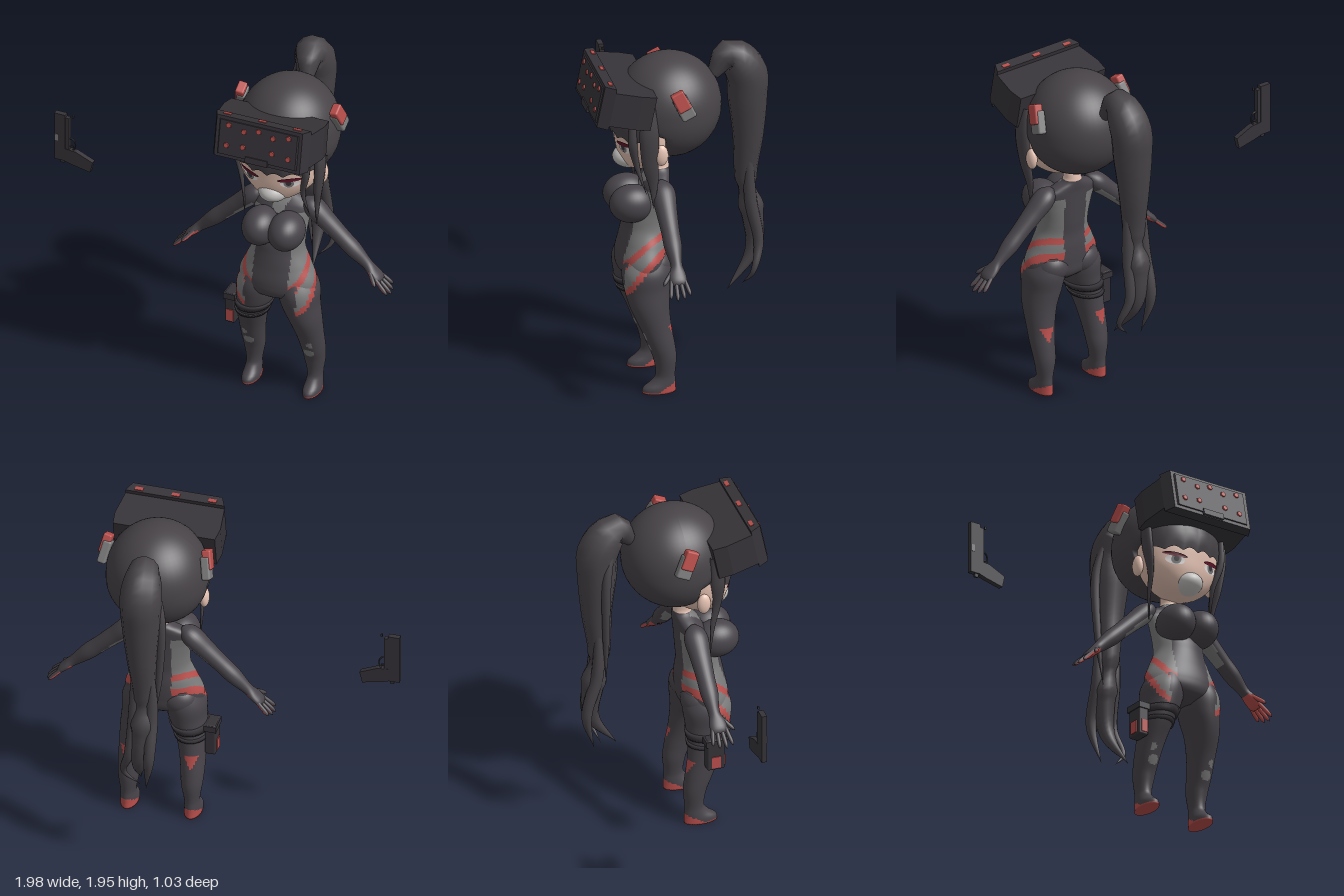
import * as THREE from 'three';
import { mergeVertices } from 'three/addons/utils/BufferGeometryUtils.js';
import { RoundedBoxGeometry } from 'three/addons/geometries/RoundedBoxGeometry.js';

const mat = (name, color, side = THREE.FrontSide) => new THREE.MeshStandardMaterial({ name, color, side });
const M = {
  hair: mat('hair charcoal', 0x474347, THREE.DoubleSide), suit: mat('suit charcoal', 0x48444a),
  gear: mat('gear black', 0x363338), red: mat('accent red', 0xb84e4b), grey: mat('panel grey', 0x7b7a7b),
  skin: mat('skin', 0xe6c3b3), mask: mat('mask grey', 0xc4c2c0), lash: mat('lash maroon', 0x5e1428, THREE.DoubleSide),
  white: mat('eye white', 0xe6e0e0, THREE.DoubleSide),
};

const add = (parent, name, geo, material, x = 0, y = 0, z = 0) => {
  const m = new THREE.Mesh(geo, material);
  m.name = name; m.position.set(x, y, z); parent.add(m);
  return m;
};
const ball = (parent, name, material, p, s) => {
  const m = add(parent, name, new THREE.SphereGeometry(1, 32, 24), material, ...p);
  m.scale.set(...s); return m;
};
const box = (parent, name, material, p, s) => add(parent, name, new THREE.BoxGeometry(...s), material, ...p);

// Smooth cross-section [y, cx, cz, rx, rz] at height y; sections run from top to bottom
function at(secs, y) {
  let i = 0;
  while (i < secs.length - 2 && y < secs[i + 1][0]) i++;
  const a = secs[i], b = secs[i + 1], h = b[0] - a[0], t = (y - a[0]) / h;
  const p = secs[i - 1] || a, n = secs[i + 2] || b;
  return a.map((v, k) => {
    if (k === 0) return y;
    const m0 = (b[k] - p[k]) / (b[0] - p[0]) * h, m1 = (n[k] - v) / (n[0] - a[0]) * h;
    const t2 = t * t, t3 = t2 * t;
    return (2 * t3 - 3 * t2 + 1) * v + (t3 - 2 * t2 + t) * m0 + (3 * t2 - 2 * t3) * b[k] + (t3 - t2) * m1;
  });
}

// Closed body of elliptical sections; paint(x, y, z) picks the material of each quad
function loft(parent, name, secs, paint, rows = 40, seg = 40) {
  const pos = [], faces = new Map(), top = secs[0][0], low = secs[secs.length - 1][0];
  for (let i = 0; i <= rows; i++) {
    const [y, cx, cz, rx, rz] = at(secs, top + (low - top) * i / rows);
    for (let j = 0; j < seg; j++) {
      const q = j / seg * Math.PI * 2;
      pos.push(cx + rx * Math.sin(q), y, cz + rz * Math.cos(q));
    }
  }
  const ends = [secs[0], secs[secs.length - 1]], n = pos.length / 3;
  ends.forEach(e => pos.push(e[1], e[0], e[2]));
  const put = (...ids) => {
    const c = [0, 1, 2].map(k => ids.reduce((s, id) => s + pos[id * 3 + k], 0) / ids.length);
    const m = paint(...c);
    if (!faces.has(m)) faces.set(m, []);
    faces.get(m).push(ids[0], ids[1], ids[2]);
    if (ids.length > 3) faces.get(m).push(ids[0], ids[2], ids[3]);
  };
  for (let j = 0; j < seg; j++) {
    const k = (j + 1) % seg, last = rows * seg;
    put(n, j, k);
    put(n + 1, last + k, last + j);
    for (let i = 0; i < rows; i++) put(i * seg + j, (i + 1) * seg + j, (i + 1) * seg + k, i * seg + k);
  }
  const geo = new THREE.BufferGeometry(), index = [], mats = [];
  for (const [m, list] of faces) {
    geo.addGroup(index.length, list.length, mats.length);
    mats.push(m);
    for (const id of list) index.push(id);
  }
  geo.setAttribute('position', new THREE.Float32BufferAttribute(pos, 3));
  geo.setIndex(index);
  geo.computeVertexNormals();
  return add(parent, name, geo, mats);
}

// Lock of hair: a tube whose radius follows the fourth value of each point
function strand(parent, name, pts, sx = 1, sz = 1) {
  const curve = new THREE.CatmullRomCurve3(pts.map(p => new THREE.Vector3(p[0], p[1], p[2])));
  const radii = new THREE.CatmullRomCurve3(pts.map(p => new THREE.Vector3(p[3], 0, 0)));
  const N = 48, R = 12, tube = new THREE.TubeGeometry(curve, N, 1, R), a = tube.attributes.position;
  for (let i = 0; i <= N; i++) {
    const u = curve.getUtoTmapping(i / N), c = curve.getPoint(u), r = Math.max(0.001, radii.getPoint(u).x);
    for (let j = 0; j <= R; j++) {
      const k = i * (R + 1) + j;
      a.setXYZ(k, c.x + (a.getX(k) - c.x) * r * sx, c.y + (a.getY(k) - c.y) * r, c.z + (a.getZ(k) - c.z) * r * sz);
    }
  }
  tube.deleteAttribute('normal'); tube.deleteAttribute('uv');
  const geo = mergeVertices(tube, 1e-5);
  geo.computeVertexNormals();
  return add(parent, name, geo, M.hair);
}

// Suit pattern: grey flanks, two red stripes sweeping round the hip, grey collar
function suitPaint(x, y, z) {
  const a = Math.abs(x), d = Math.max(0, z - 0.1);
  const low = 0.81 - 4.2 * d * d, high = 0.9 - 3 * d * d;
  if (y > 1.262) return M.skin;
  if (y > 1.15 && z > 0.13 && a < 0.02 + (y - 1.15) * 0.5) return M.grey;
  if (y < 1.16 && a > (z > 0.2 ? 0.105 : 0.07)) {
    if (Math.abs(y - low) < 0.024 || Math.abs(y - high) < 0.018) return M.red;
    if (y > low) return M.grey;
  }
  return M.suit;
}

const torso = [[1.31, 0, 0.11, 0.05, 0.05], [1.255, 0, 0.105, 0.055, 0.052], [1.225, 0, 0.115, 0.11, 0.06],
  [1.19, 0, 0.13, 0.165, 0.07], [1.1, 0, 0.155, 0.155, 0.09], [1.0, 0, 0.185, 0.145, 0.115], [0.93, 0, 0.195, 0.148, 0.12],
  [0.85, 0, 0.2, 0.182, 0.13], [0.75, 0, 0.21, 0.22, 0.137], [0.68, 0, 0.21, 0.19, 0.125], [0.635, 0, 0.205, 0.06, 0.07]];
const legSections = s => [[0.8, 0.1, 0.2, 0.08, 0.11], [0.7, 0.118, 0.205, 0.112, 0.135], [0.6, 0.13, 0.205, 0.104, 0.125],
  [0.5, 0.153, 0.195, 0.088, 0.108], [0.38, 0.168, 0.165, 0.073, 0.086], [0.28, 0.175, 0.137, 0.065, 0.075],
  [0.2, 0.176, 0.117, 0.058, 0.064], [0.1, 0.178, 0.115, 0.042, 0.054], [0.06, 0.178, 0.128, 0.044, 0.07],
  [0.03, 0.178, 0.148, 0.048, 0.09], [0, 0.178, 0.15, 0.048, 0.094]].map(([y, x, ...r]) => [y, x * s, ...r]);
const armSections = [[0.06, 0, 0, 0.012, 0.015], [0.03, 0, 0, 0.04, 0.05], [-0.02, 0, 0, 0.055, 0.066], [-0.12, 0, 0, 0.05, 0.058],
  [-0.24, 0, 0, 0.045, 0.05], [-0.33, 0, 0, 0.044, 0.048], [-0.44, 0, 0, 0.029, 0.032], [-0.49, 0, 0.005, 0.024, 0.047],
  [-0.535, 0, 0.005, 0.02, 0.047], [-0.555, 0, 0.005, 0.01, 0.035]];
const face = [[1.75, 0, 0.16, 0.2, 0.17], [1.55, 0, 0.18, 0.235, 0.175], [1.45, 0, 0.18, 0.23, 0.17], [1.38, 0, 0.185, 0.2, 0.155],
  [1.31, 0, 0.2, 0.125, 0.115], [1.28, 0, 0.21, 0.06, 0.07], [1.268, 0, 0.21, 0.01, 0.02]];

function buildLimbs(body, s) {
  // Leg with red sole, heel, calf patch and grey knee pads
  loft(body, s > 0 ? 'leftLeg' : 'rightLeg', legSections(s), (x, y, z) => {
    const a = Math.abs(x);
    if (y < Math.max(0.015, 0.065 - 0.5 * (z - 0.055))) return M.red;
    if (y > 0.55 && a > 0.15) return suitPaint(x, y, z);
    if (z > 0.15 && (Math.hypot(a - 0.175, y - 0.275) < 0.028 || Math.hypot(a - 0.19, y - 0.34) < 0.018)) return M.grey;
    if (z < 0.12 && y > 0.32 && y < 0.4 && Math.abs(a - 0.18) < (y - 0.31) * 0.45) return M.red;
    return M.suit;
  }, 80, 40);
  // Arm with grey inner panel, red palm and fingers
  const arm = new THREE.Group();
  arm.name = s > 0 ? 'leftArm' : 'rightArm';
  arm.position.set(0.165 * s, 1.185, 0.125);
  arm.rotation.z = 0.82 * s;
  body.add(arm);
  loft(arm, 'sleeveAndPalm', armSections, (x, y) => {
    if (s * x < -0.008 && y < -0.46) return M.red;
    return s * x < -0.025 && y < -0.03 && y > -0.25 ? M.grey : M.suit;
  }, 50, 28);
  for (let k = 0; k < 5; k++) {
    const thumb = k === 4, len = thumb ? 0.075 : [0.08, 0.098, 0.105, 0.092][k];
    const f = loft(arm, thumb ? 'thumb' : 'finger', [[0.02, 0, 0, 0.011, 0.011], [-len * 0.6, 0, 0, 0.012, 0.012],
      [-len * 0.9, 0, 0, 0.008, 0.008], [-len, 0, 0, 0.002, 0.002]], x => s * x < -0.002 ? M.red : M.suit, 10, 12);
    f.position.set(0, thumb ? -0.49 : -0.54, thumb ? 0.045 : -0.033 + k * 0.026);
    f.rotation.x = thumb ? -0.65 : 0.2 - k * 0.13;
  }
  ball(body, 'chest', M.suit, [0.076 * s, 1.085, 0.275], [0.1, 0.106, 0.125]);
  ball(body, 'seat', M.suit, [0.095 * s, 0.73, 0.155], [0.1, 0.09, 0.09]);
}

function buildHead(body) {
  loft(body, 'face', face, () => M.skin, 40, 48);
  ball(body, 'mouthMask', M.mask, [0, 1.338, 0.268], [0.085, 0.064, 0.097]);
  // Thin disc laid onto the curved face
  const patch = (name, m, x, y, rx, ry, tilt, lift) => {
    const g = new THREE.CircleGeometry(1, 28).scale(rx, ry, 1).rotateZ(tilt).translate(x, y, 0), a = g.attributes.position;
    for (let i = 0; i < a.count; i++) {
      const [, , cz, fx, fz] = at(face, a.getY(i));
      a.setZ(i, cz + fz * Math.sqrt(Math.max(0, 1 - (a.getX(i) / fx) ** 2)) + lift);
    }
    g.computeVertexNormals();
    add(body, name, g, m);
  };
  for (const s of [1, -1]) {
    patch('eyeWhite', M.white, s * 0.115, 1.435, 0.05, 0.026, s * 0.1, 0.003);
    patch('iris', M.grey, s * 0.112, 1.437, 0.026, 0.027, 0, 0.005);
    patch('pupil', M.gear, s * 0.112, 1.441, 0.014, 0.018, 0, 0.007);
    patch('upperLash', M.lash, s * 0.118, 1.462, 0.065, 0.012, s * 0.14, 0.009);
    ball(body, 'ear', M.skin, [s * 0.238, 1.43, 0.15], [0.026, 0.06, 0.038]);
    // Hair ornament
    const clip = new THREE.Group();
    clip.name = 'hairOrnament';
    clip.position.set(s * 0.277, 1.745, 0.045);
    clip.rotation.set(0.45, 0, s * 0.2);
    body.add(clip);
    add(clip, 'ornamentBase', new RoundedBoxGeometry(0.05, 0.13, 0.085, 2, 0.012), M.grey, 0, -0.03, 0);
    add(clip, 'ornamentPlate', new RoundedBoxGeometry(0.05, 0.11, 0.075, 2, 0.01), M.red, s * 0.01, 0.015, 0);
  }
  // Hair cap, drawn back from the face below the brow
  const cap = new THREE.SphereGeometry(1, 48, 36).scale(0.277, 0.288, 0.288), a = cap.attributes.position;
  for (let i = 0; i < a.count; i++) {
    const y = a.getY(i), limit = 0.07 + Math.max(0, y + 0.1) * 2.4;
    if (y < 0) a.setX(i, a.getX(i) * (1 - y * 0.35));
    a.setZ(i, Math.min(a.getZ(i), limit));
  }
  cap.computeVertexNormals();
  add(body, 'hairCap', cap, M.hair, 0, 1.628, 0.055);
  // Fringe with a notched lower edge
  const fringe = new THREE.CylinderGeometry(1, 1, 1, 60, 6, true, -1.15, 2.3), f = fringe.attributes.position;
  for (let i = 0; i < f.count; i++) {
    const t = 0.5 - f.getY(i), x = f.getX(i), notch = Math.abs(Math.sin(x * 9)) * 0.022;
    f.setXYZ(i, x * 0.252, 1.69 - t * (0.205 - notch), 0.15 + f.getZ(i) * (0.2 + 0.035 * Math.sin(t * 2.4)));
  }
  fringe.computeVertexNormals();
  add(body, 'fringe', fringe, M.hair);
  strand(body, 'leftSideLock', [[0.24, 1.72, 0.22, 0.03], [0.25, 1.55, 0.22, 0.045], [0.235, 1.38, 0.21, 0.038], [0.22, 1.25, 0.19, 0.022], [0.215, 1.11, 0.19, 0]], 0.6, 1.2);
  strand(body, 'leftFrontLock', [[0.2, 1.66, 0.3, 0.02], [0.2, 1.5, 0.3, 0.025], [0.17, 1.35, 0.27, 0.016], [0.19, 1.18, 0.22, 0]], 0.8);
  strand(body, 'rightSideLock', [[-0.24, 1.72, 0.22, 0.03], [-0.235, 1.55, 0.23, 0.035], [-0.21, 1.38, 0.23, 0.02], [-0.205, 1.25, 0.21, 0.012], [-0.2, 1.08, 0.2, 0]], 0.6, 1.2);
  // Ponytail and its loose tips
  strand(body, 'ponytail', [[0, 1.77, -0.19, 0.035], [-0.02, 1.87, -0.28, 0.085], [-0.03, 1.76, -0.38, 0.115], [-0.035, 1.6, -0.39, 0.108],
    [-0.04, 1.38, -0.395, 0.085], [-0.05, 1.1, -0.385, 0.06], [-0.05, 0.9, -0.42, 0.06], [-0.03, 0.7, -0.42, 0.042], [0, 0.48, -0.27, 0]]);
  strand(body, 'ponytailOuterTip', [[-0.09, 1.3, -0.4, 0.02], [-0.1, 1.0, -0.41, 0.035], [-0.1, 0.75, -0.47, 0.03], [-0.07, 0.52, -0.42, 0]]);
  strand(body, 'ponytailInnerTip', [[0.0, 1.3, -0.39, 0.02], [0, 1.0, -0.4, 0.035], [0.02, 0.75, -0.44, 0.028], [0.06, 0.6, -0.4, 0.015], [-0.02, 0.5, -0.36, 0]]);
  strand(body, 'ponytailThinLock', [[-0.1, 1.8, -0.33, 0.02], [-0.14, 1.6, -0.37, 0.026], [-0.13, 1.25, -0.37, 0.02], [-0.1, 0.95, -0.36, 0]]);
}

function buildHeadset(body) {
  const g = new THREE.Group();
  g.name = 'headset';
  g.position.set(0, 1.73, 0.34);
  g.rotation.x = -0.2;
  body.add(g);
  // Plan outline extruded upward
  const slab = (name, pts, h) => {
    const shape = new THREE.Shape([...pts, ...pts.slice().reverse().map(([x, z]) => [-x, z])].map(p => new THREE.Vector2(...p)));
    add(g, name, new THREE.ExtrudeGeometry(shape, { depth: h, bevelEnabled: false }).rotateX(Math.PI / 2).translate(0, h / 2, 0), M.gear);
  };
  slab('headsetBody', [[0.285, -0.14], [0.295, -0.06], [0.277, 0.09]], 0.195);
  slab('headsetFront', [[0.277, 0.09], [0.25, 0.15]], 0.24);
  slab('headsetBrow', [[0.235, 0.145], [0.225, 0.158]], 0.2);
  box(g, 'noseRest', M.gear, [0, -0.1, 0.15], [0.13, 0.035, 0.03]);
  for (const [x, y] of [[0, 0.075], [0.175, 0.075], [0.085, 0.055], [0.085, -0.035], [0.18, -0.045]])
    for (const s of x ? [1, -1] : [1])
      add(g, 'redStud', new THREE.CylinderGeometry(0.015, 0.017, 0.008, 6).rotateX(Math.PI / 2), M.red, s * x, y, 0.161);
  for (const x of [-0.205, 0, 0.205]) box(g, 'topMark', M.red, [x, 0.121, 0.112], [0.045, 0.006, 0.022]);
}

function buildHolster(body) {
  const leg = legSections(-1);
  for (const [top, low] of [[0.57, 0.53], [0.505, 0.485]])
    loft(body, 'thighStrap', [top, low].map(y => { const [, x, z, rx, rz] = at(leg, y); return [y, x, z, rx + 0.009, rz + 0.009]; }), () => M.gear, 2, 40);
  add(body, 'holster', new RoundedBoxGeometry(0.06, 0.19, 0.1, 2, 0.01), M.gear, -0.268, 0.48, 0.2);
  box(body, 'holsterFlap', M.gear, [-0.268, 0.555, 0.2], [0.07, 0.035, 0.115]);
  box(body, 'holsterFrontPlate', M.red, [-0.266, 0.435, 0.251], [0.04, 0.07, 0.008]);
  box(body, 'holsterSidePlate', M.red, [-0.299, 0.435, 0.2], [0.008, 0.07, 0.05]);
}

function buildPistol(root) {
  const g = new THREE.Group();
  g.name = 'pistol';
  g.position.set(0, 0, 0.126);
  root.add(g);
  box(g, 'slide', M.gear, [-0.962, 1.25, 0], [0.064, 0.295, 0.03]);
  box(g, 'frame', M.gear, [-0.922, 1.245, 0], [0.028, 0.27, 0.026]);
  box(g, 'hammer', M.gear, [-0.95, 1.098, 0], [0.022, 0.03, 0.012]);
  box(g, 'ejectionPort', M.grey, [-0.982, 1.245, 0.0155], [0.022, 0.04, 0.004]);
  const grip = new THREE.Shape([[-0.93, 1.18], [-0.93, 1.1], [-0.89, 1.088], [-0.785, 1.065], [-0.77, 1.13], [-0.87, 1.175]].map(p => new THREE.Vector2(...p)));
  add(g, 'grip', new THREE.ExtrudeGeometry(grip, { depth: 0.03, bevelEnabled: false }), M.gear, 0, 0, -0.015);
  const guard = add(g, 'triggerGuard', new THREE.TorusGeometry(0.034, 0.005, 6, 20), M.gear, -0.901, 1.208, 0);
  guard.scale.set(0.75, 1.1, 1);
  box(g, 'trigger', M.gear, [-0.9, 1.195, 0], [0.025, 0.008, 0.008]);
  box(g, 'smallPin', M.gear, [-0.89, 1.39, 0], [0.01, 0.015, 0.01]);
}

export function createModel() {
  const root = new THREE.Group(), body = new THREE.Group();
  root.name = 'model';
  body.name = 'figure';
  body.position.x = 0.345;
  root.add(body);
  loft(body, 'torso', torso, suitPaint, 110, 88);
  for (const s of [1, -1]) buildLimbs(body, s);
  buildHead(body);
  buildHeadset(body);
  buildHolster(body);
  buildPistol(root);
  return root;
}
